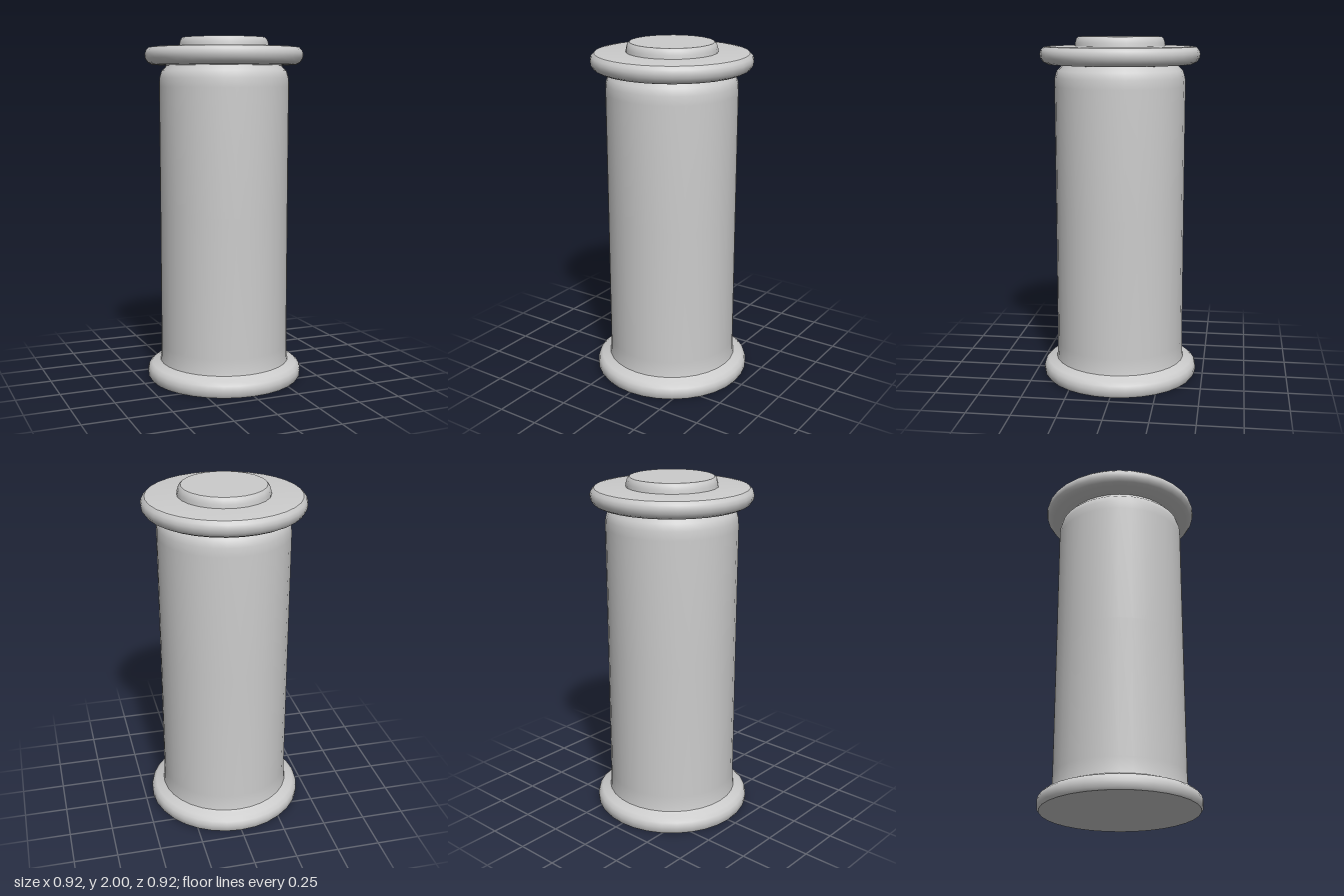
import * as THREE from 'three';
import { toCreasedNormals } from 'three/addons/utils/BufferGeometryUtils.js';

const material = new THREE.MeshStandardMaterial({ color: 0xcccccc });

// Turned part from a bottom-to-top profile of [radius, height] pairs
function turned(name, profile, segments) {
  const points = profile.map(([r, y]) => new THREE.Vector2(r, y));
  const geometry = toCreasedNormals(new THREE.LatheGeometry(points, segments), 0.6);
  const mesh = new THREE.Mesh(geometry, material);
  mesh.name = name;
  return mesh;
}

export function createModel() {
  const group = new THREE.Group();
  group.name = 'spool';

  // Flat-bottomed flange with a rounded rim and a small step up to the barrel
  group.add(turned('bottomFlange', [
    [0, 0], [0.445, 0], [0.455, 0.015], [0.457, 0.045], [0.45, 0.07],
    [0.43, 0.088], [0.395, 0.095], [0.37, 0.115], [0, 0.115],
  ], 32));

  // Barrel with a flared foot and rounded shoulder
  group.add(turned('barrel', [
    [0.385, 0.09], [0.377, 0.125], [0.375, 0.2], [0.375, 1.0], [0.376, 1.72],
    [0.374, 1.77], [0.362, 1.81], [0.34, 1.83], [0.33, 1.85],
  ], 32));

  // Top flange with a fully rounded rim
  group.add(turned('topFlange', [
    [0, 1.84], [0.33, 1.84], [0.415, 1.845], [0.44, 1.858], [0.455, 1.88],
    [0.458, 1.905], [0.452, 1.925], [0.435, 1.942], [0.41, 1.946], [0, 1.946],
  ], 32));

  // Raised end cap
  group.add(turned('endCap', [
    [0.26, 1.94], [0.257, 1.965], [0.25, 1.988], [0.238, 2], [0, 2],
  ], 24));

  return group;
}
